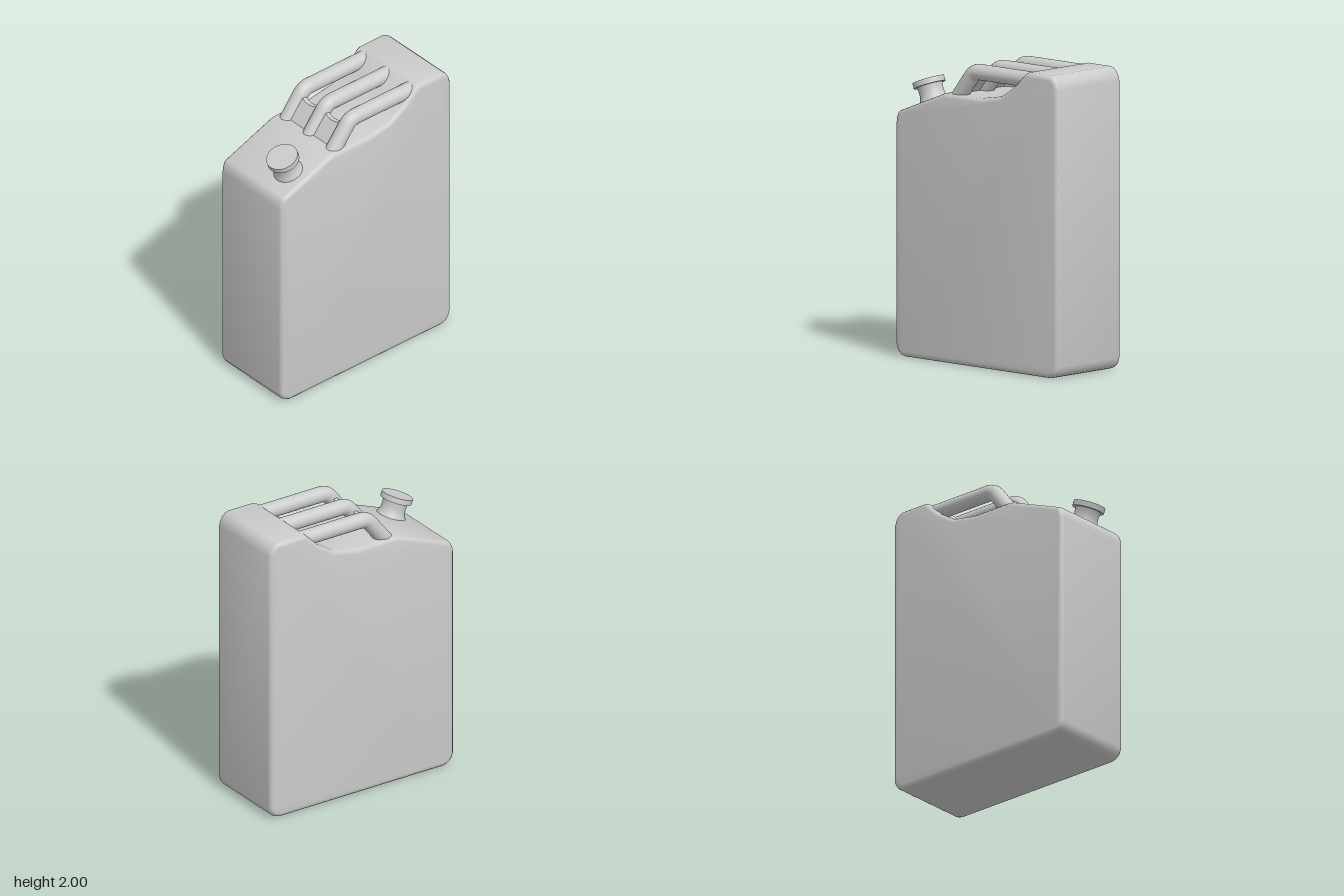
import * as THREE from 'three';
import { toCreasedNormals } from 'three/addons/utils/BufferGeometryUtils.js';

const material = new THREE.MeshStandardMaterial({ color: 0xcccccc });

function part(name, geometry, parent) {
  const mesh = new THREE.Mesh(geometry, material);
  mesh.name = name;
  parent.add(mesh);
  return mesh;
}

// Side outline (z, y) of the can, extruded across its width with rounded edges
function bodyGeometry() {
  const bevel = 0.03, width = 0.61;
  const s = new THREE.Shape();
  s.moveTo(-0.65, 0);
  s.lineTo(0.65, 0);
  s.quadraticCurveTo(0.72, 0.01, 0.73, 0.08);
  s.lineTo(0.73, 1.54);
  s.quadraticCurveTo(0.728, 1.595, 0.7, 1.622);
  s.lineTo(0.3, 1.778);
  s.lineTo(0.27, 1.782);
  s.lineTo(-0.03, 1.782);
  s.lineTo(-0.21, 1.813);
  s.lineTo(-0.34, 1.895);
  s.lineTo(-0.435, 1.99);
  s.lineTo(-0.46, 2);
  s.lineTo(-0.655, 2);
  s.quadraticCurveTo(-0.715, 1.99, -0.73, 1.91);
  s.lineTo(-0.73, 0.08);
  s.quadraticCurveTo(-0.72, 0.01, -0.65, 0);
  const depth = width - 2 * bevel;
  const g = new THREE.ExtrudeGeometry(s, {
    depth, curveSegments: 4, bevelSize: bevel, bevelThickness: bevel, bevelOffset: -bevel, bevelSegments: 3,
  });
  g.translate(0, 0, -depth / 2);
  g.rotateY(-Math.PI / 2);
  return toCreasedNormals(g, 0.6);
}

// Bent carrying bar: from inside the rear hump forward, then down into the deck
function handleGeometry() {
  const p = (z, y) => new THREE.Vector3(0, y, z);
  const path = new THREE.CurvePath();
  path.add(new THREE.LineCurve3(p(-0.5, 1.942), p(0.035, 1.942)));
  path.add(new THREE.QuadraticBezierCurve3(p(0.035, 1.942), p(0.08, 1.942), p(0.108, 1.905)));
  path.add(new THREE.LineCurve3(p(0.108, 1.905), p(0.245, 1.73)));
  return new THREE.TubeGeometry(path, 48, 0.053, 24, false);
}

// Slanted plate joining the front struts, with a sagging top edge in each bay
function webGeometry() {
  const s = new THREE.Shape();
  s.moveTo(-0.23, 1.75);
  s.lineTo(0.23, 1.75);
  s.lineTo(0.23, 1.935);
  s.quadraticCurveTo(0.115, 1.865, 0, 1.935);
  s.quadraticCurveTo(-0.115, 1.865, -0.23, 1.935);
  const g = new THREE.ExtrudeGeometry(s, { depth: 0.03, bevelEnabled: false, curveSegments: 12 });
  const pos = g.attributes.position;
  for (let i = 0; i < pos.count; i++) {
    pos.setZ(i, pos.getZ(i) + 0.205 - (pos.getY(i) - 1.78) * 0.79);
  }
  return toCreasedNormals(g, 0.6);
}

function lathe(points) {
  const g = new THREE.LatheGeometry(points.map(([r, y]) => new THREE.Vector2(r, y)), 40);
  return toCreasedNormals(g, 0.6);
}

export function createModel() {
  const model = new THREE.Group();
  model.name = 'fuelCan';

  part('body', bodyGeometry(), model);

  // Three parallel bars
  const handles = new THREE.Group();
  handles.name = 'handles';
  const bar = handleGeometry();
  for (const x of [-0.23, 0, 0.23]) part('handleBar', bar, handles).position.x = x;
  part('handleWeb', webGeometry(), handles);
  model.add(handles);

  // Pouring spout, square to the sloping shoulder
  const spout = new THREE.Group();
  spout.name = 'spout';
  spout.position.set(0.14, 1.687, 0.532);
  spout.rotation.x = Math.atan2(0.365, 0.93);
  part('neck', lathe([[0.1, -0.02], [0.098, 0.002], [0.089, 0.018], [0.083, 0.04], [0.081, 0.065], [0.083, 0.09], [0.088, 0.115]]), spout);
  part('cap', lathe([[0, 0.108], [0.107, 0.108], [0.107, 0.146], [0, 0.146]]), spout);
  model.add(spout);

  return model;
}
